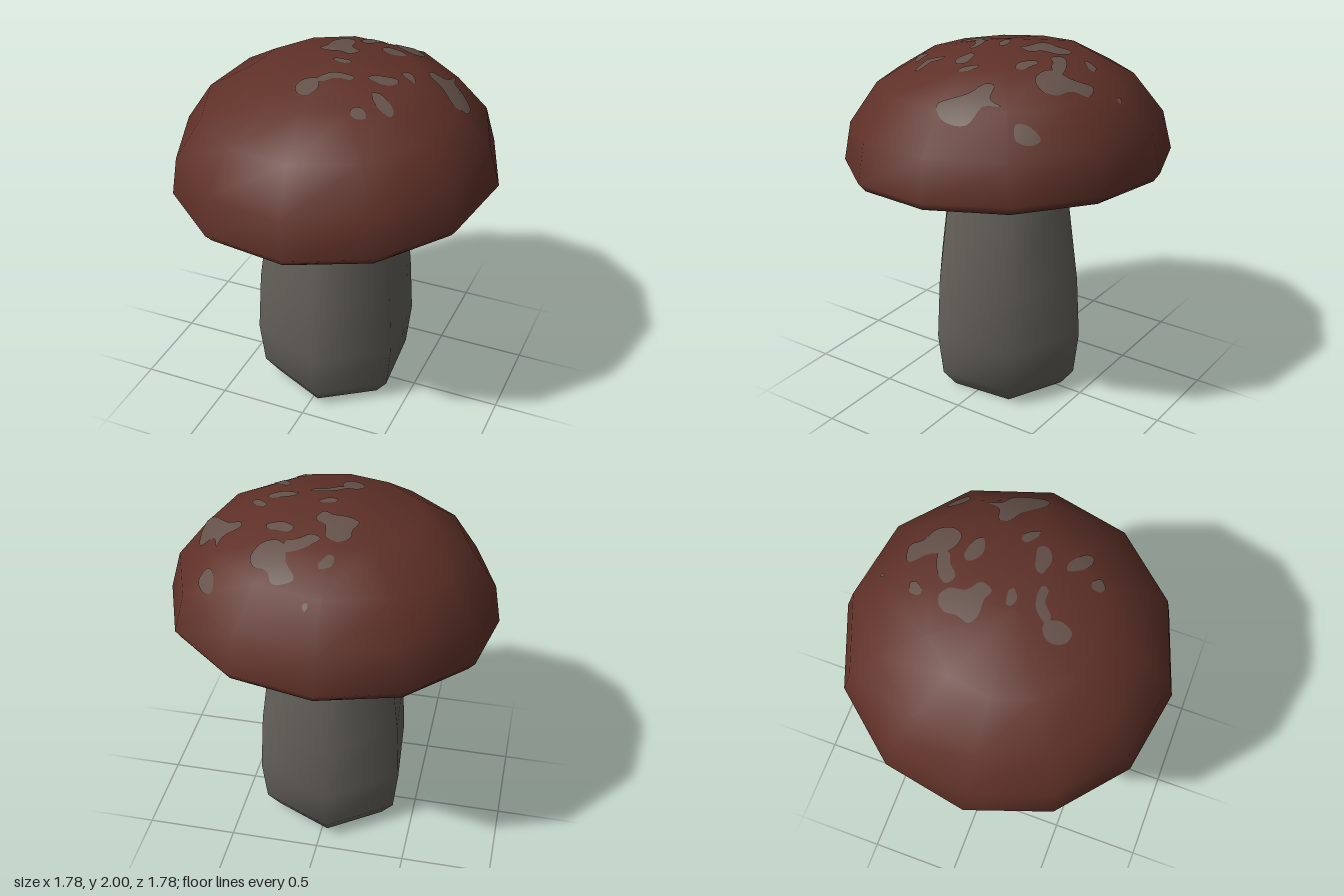
import * as THREE from 'three';
import { mergeVertices } from 'three/addons/utils/BufferGeometryUtils.js';

const V = (x, y, z) => new THREE.Vector3(x, y, z);
const TURN = THREE.MathUtils.degToRad(5);
const CAP_Y = 1.365;

const material = (name, color) => {
  const m = new THREE.MeshStandardMaterial({ color });
  m.name = name;
  return m;
};

// Skin over rings of equal length, ordered bottom to top, counter-clockwise from above
function loft(rings) {
  const n = rings[0].length, index = [];
  for (let k = 0; k < rings.length - 1; k++) {
    for (let i = 0; i < n; i++) {
      const j = (i + 1) % n, a = k * n, b = a + n;
      index.push(a + i, a + j, b + j, a + i, b + j, b + i);
    }
  }
  let g = new THREE.BufferGeometry().setFromPoints(rings.flat());
  g.setIndex(index);
  g = mergeVertices(g, 1e-5);
  g.computeVertexNormals();
  return g;
}

// Regular polygon ring; the radius may depend on the angle
function ring(sides, radius, y) {
  return Array.from({ length: sides }, (_, i) => {
    const t = TURN + (i / sides) * Math.PI * 2;
    const r = typeof radius === 'function' ? radius(t) : radius;
    return V(r * Math.sin(t), y, r * Math.cos(t));
  });
}

// Lean the cap forward and a little to one side
const tilt = (p) => V(p.x - 0.04 * p.y, CAP_Y + p.y + 0.04 * p.x - 0.067 * p.z, p.z + 0.067 * p.y);
const tilted = (rings) => rings.map((r) => r.map(tilt));

export function createModel() {
  const group = new THREE.Group();
  const red = material('capRed', 0x5f3128);
  const grey = material('stemGrey', 0x64615a);
  const spot = material('spotBrown', 0x65524a);
  const gill = material('gillGrey', 0x544a45);
  const add = (name, geometry, mat) => {
    const mesh = new THREE.Mesh(geometry, mat);
    mesh.name = name;
    group.add(mesh);
    return mesh;
  };

  // Six-sided stem
  const stem = [[0.352, 0], [0.43, 0.1], [0.46, 0.35], [0.44, 0.7], [0.365, 1.25], [0.35, 1.34]];
  add('stem', loft(stem.map(([r, y]) => ring(6, r, y))), grey);

  // Stained foot
  add('footStain', loft([ring(6, 0, 0.004), ring(6, 0.352, 0.004)]), red);
  const blot = (t) => 0.2 + 0.04 * Math.sin(3 * t) + 0.025 * Math.sin(7 * t + 1);
  add('footPatch', loft([ring(48, 0, 0), ring(48, blot, 0)]), gill);

  // Twelve-sided cap, from the underside up to the crown
  const cap = [[0.6, -0.097], [0.86, -0.045], [0.895, 0], [0.85, 0.21], [0.69, 0.425], [0.44, 0.565], [0, 0.635]];
  const capMesh = add('cap', loft(tilted(cap.map(([r, y]) => ring(12, r, y)))), red);

  // Underside with a slightly ragged edge, following the twelve facets
  const step = Math.PI / 6;
  const facet = (t) => Math.cos(step / 2) / Math.cos(((t - TURN + 1e-9) % step) - step / 2);
  const ragged = (t) => facet(t) * (0.82 + 0.008 * Math.sin(17 * t) + 0.006 * Math.sin(29 * t + 2));
  const under = [
    ring(96, 0, -0.102),
    ring(96, (t) => 0.6 * facet(t), -0.102),
    ring(96, ragged, -0.058),
  ];
  add('underside', loft(tilted(under)), gill);

  // Pale patches laid over the cap, in hundredths of a unit as x, z
  const outlines = [
    [[8, -57], [18, -60], [22, -54], [30, -50], [33, -43], [29, -36], [21, -36], [16, -41], [14, -48]],
    [[0, -33], [3, -38], [10, -42], [17, -43], [17, -38], [11, -35], [5, -30]],
    [[-14, -29], [-8, -34], [-2, -31], [0, -22], [6, -17], [3, -10], [-2, -12], [-11, -12], [-16, -15], [-14, -22]],
    [[44, -22], [52, -25], [54, -33], [57, -25], [66, -21], [69, -7], [65, -2], [57, -9], [53, -13], [45, -17]],
    [[-11, 26], [-9, 21], [-3, 19], [1, 26], [-2, 33], [-8, 32]],
    [[-3, 20], [2, 13], [10, 11], [15, 12], [14, 15], [7, 16], [1, 21]],
  ];
  // Small oval patches: x, z, two radii, turn in degrees
  const ovals = [
    [-6, -47, 4.5, 2.8, -50], [22, -26, 7.5, 4, 10], [55, -48, 6.5, 3.5, 55],
    [3, 0, 5, 2.5, -10], [39, -3, 5.5, 2.5, 40], [29, 7, 8, 4, -12],
    [35, 25, 8.5, 3.5, 35], [27, 37, 4, 3.5, 0], [0, -68, 1.3, 1.3, 0],
  ];
  for (const [x, z, rx, rz, deg] of ovals) {
    const a = THREE.MathUtils.degToRad(deg);
    outlines.push(Array.from({ length: 8 }, (_, i) => {
      const t = (i / 8) * Math.PI * 2, wave = 1 + 0.1 * Math.sin(i * 2.3 + x);
      const u = rx * wave * Math.cos(t), v = rz * wave * Math.sin(t);
      return [x + u * Math.cos(a) - v * Math.sin(a), z + u * Math.sin(a) + v * Math.cos(a)];
    }));
  }

  capMesh.updateMatrixWorld(true);
  const ray = new THREE.Raycaster();
  const drop = (p) => {
    ray.set(V(p.x, 3, p.z), V(0, -1, 0));
    return ray.intersectObject(capMesh)[0];
  };
  const patches = new THREE.Group();
  patches.name = 'capPatches';
  group.add(patches);
  for (const outline of outlines) {
    const points = outline.map(([x, z]) => V(x / 100, 0, z / 100)).reverse();
    const edge = new THREE.CatmullRomCurve3(points, true).getSpacedPoints(40).slice(0, 40);
    const centre = edge.reduce((s, p) => s.add(p), V(0, 0, 0)).divideScalar(edge.length);
    const rings = [1, 0.83, 0.67, 0.5, 0.33, 0.17, 0].map((s) => edge.map((p) => centre.clone().lerp(p, s)));
    const g = loft(rings);
    const pos = g.attributes.position, nor = g.attributes.normal;
    for (let i = 0; i < pos.count; i++) {
      const hit = drop(V().fromBufferAttribute(pos, i));
      if (!hit) continue;
      const n = (hit.normal || hit.face.normal).clone().normalize();
      nor.setXYZ(i, n.x, n.y, n.z);
      hit.point.addScaledVector(n, 0.005);
      pos.setXYZ(i, hit.point.x, hit.point.y, hit.point.z);
    }
    const mesh = new THREE.Mesh(g, spot);
    mesh.name = 'capPatch';
    patches.add(mesh);
  }

  return group;
}
